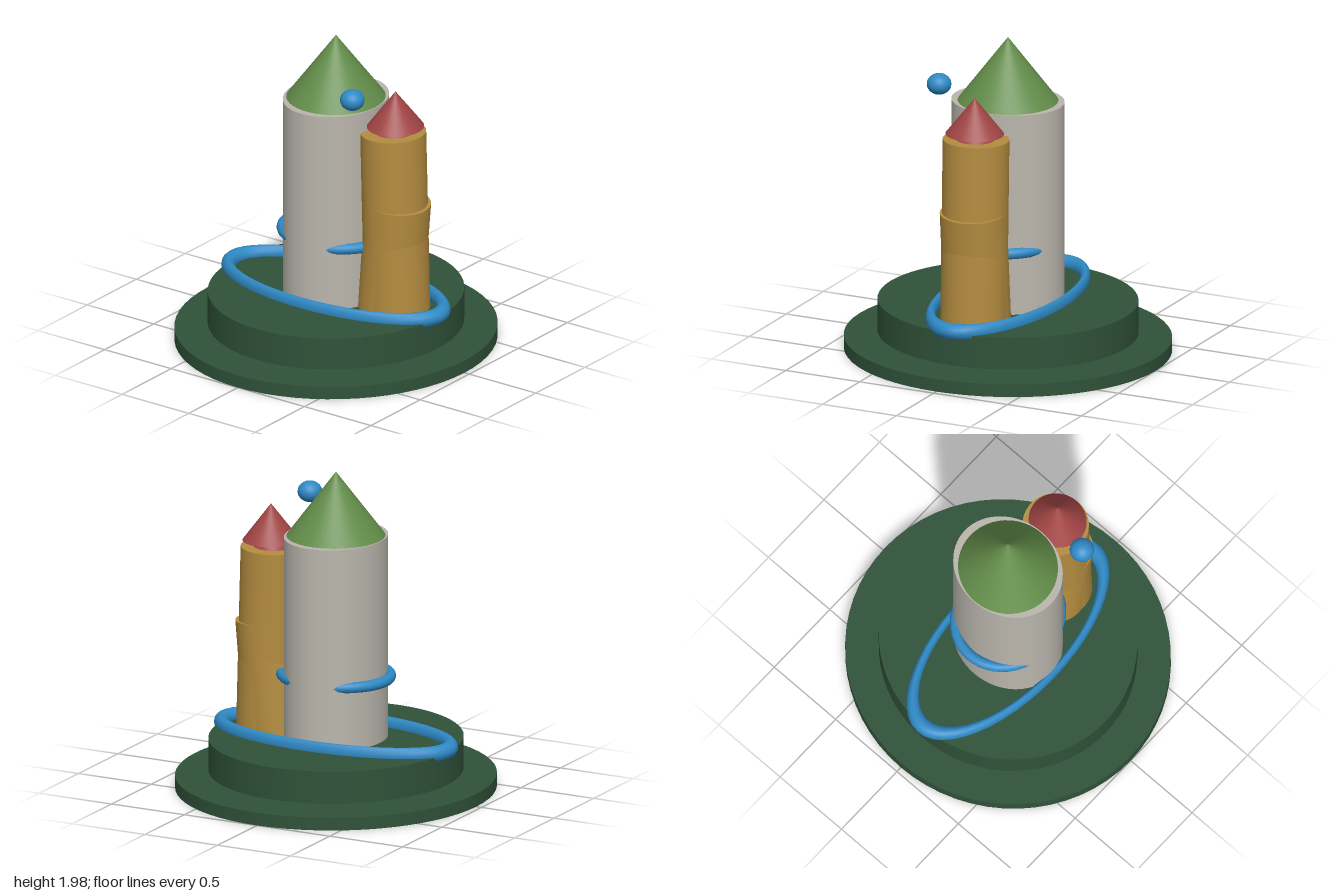
import * as THREE from 'three';

const paint = (name, color) => {
  const m = new THREE.MeshStandardMaterial({ color });
  m.name = name;
  return m;
};

export function createModel() {
  const model = new THREE.Group();
  model.name = 'towers';
  const darkGreen = paint('dark green', 0x2f5239);
  const stone = paint('stone grey', 0xbab6ad);
  const gold = paint('gold', 0xb48c3f);
  const leaf = paint('leaf green', 0x628c49);
  const red = paint('red', 0xa04444);
  const blue = paint('blue', 0x2f8ac6);

  const add = (name, geometry, material, x, y, z) => {
    const mesh = new THREE.Mesh(geometry, material);
    mesh.name = name;
    mesh.position.set(x, y, z);
    model.add(mesh);
    return mesh;
  };
  // upright elliptical drum between two heights
  const drum = (name, material, x, rx, rz, y0, y1) =>
    add(name, new THREE.CylinderGeometry(1, 1, y1 - y0, 64).scale(rx, 1, rz), material, x, (y0 + y1) / 2, 0);
  const cone = (name, material, x, rx, rz, y0, y1) =>
    add(name, new THREE.ConeGeometry(1, y1 - y0, 48).scale(rx, 1, rz), material, x, (y0 + y1) / 2, 0);
  // flat-lying oval ring
  const ring = (name, radius, tube, zScale, y) =>
    add(name, new THREE.TorusGeometry(radius, tube, 12, 48).rotateX(Math.PI / 2).scale(1, 1, zScale), blue, 0, y, 0);

  // stepped base with a gap between the discs
  drum('lowerBase', darkGreen, 0, 0.965, 1, 0, 0.08);
  drum('upperBase', darkGreen, 0, 0.765, 0.795, 0.11, 0.312);

  // main tower and roof
  drum('mainTower', stone, 0, 0.304, 0.352, 0.3, 1.575);
  cone('mainRoof', leaf, 0, 0.298, 0.306, 1.575, 1.975);

  // side tower: a tall shaft leaning in and a shorter sleeve leaning out
  const shaft = drum('sideTower', gold, 0.445, 0.198, 0.203, 0.29, 1.45);
  shaft.rotation.z = 0.027;
  const sleeve = drum('sideTowerSleeve', gold, 0.438, 0.196, 0.204, 0.29, 1.0);
  sleeve.rotation.z = -0.085;

  // side roof in two tiers
  cone('sideRoofLower', red, 0.44, 0.17, 0.17, 1.38, 1.6);
  cone('sideRoofUpper', red, 0.447, 0.17, 0.18, 1.488, 1.715);

  // rings and floating ball
  ring('baseRing', 0.765, 0.05, 0.465, 0.325);
  ring('towerRing', 0.338, 0.034, 0.9, 0.703);
  add('ball', new THREE.SphereGeometry(0.075, 20, 14).scale(1, 0.87, 1), blue, 0.34, 1.732, 0.295);

  return model;
}
